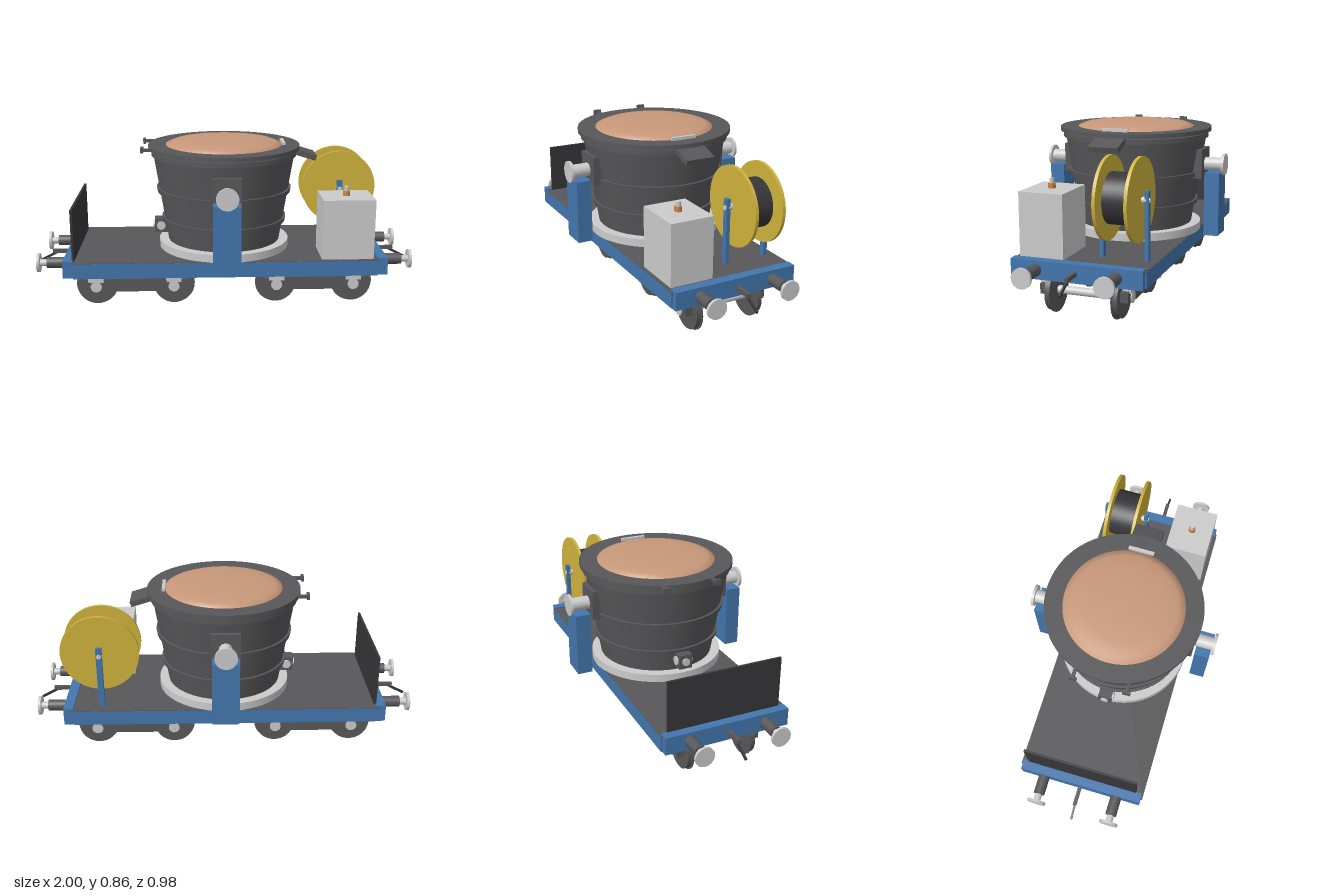
import * as THREE from 'three';

const mat = (color) => new THREE.MeshStandardMaterial({ color, side: THREE.DoubleSide });
const grey = mat(0xcccccc), dark = mat(0x58585a), black = mat(0x37373a), blue = mat(0x4376ae);
const yellow = mat(0xd0b33c), copper = mat(0xc8987a), orange = mat(0xd0853c);

function add(parent, name, geometry, material, x = 0, y = 0, z = 0) {
  const mesh = new THREE.Mesh(geometry, material);
  mesh.name = name;
  mesh.position.set(x, y, z);
  parent.add(mesh);
  return mesh;
}

// Box given by its extents on each axis
function box(parent, name, material, [x0, x1], [y0, y1], [z0, z1]) {
  return add(parent, name, new THREE.BoxGeometry(x1 - x0, y1 - y0, z1 - z0), material,
    (x0 + x1) / 2, (y0 + y1) / 2, (z0 + z1) / 2);
}

// Cylinder centred on a point, along the named axis
function rod(parent, name, material, axis, r, length, x, y, z, sides = 32) {
  const g = new THREE.CylinderGeometry(r, r, length, sides);
  if (axis === 'x') g.rotateZ(Math.PI / 2);
  if (axis === 'z') g.rotateX(Math.PI / 2);
  return add(parent, name, g, material, x, y, z);
}

// Lathe with each profile segment kept crisp
function turned(parent, name, material, points) {
  for (let i = 0; i < points.length - 1; i++) {
    const pair = [points[i], points[i + 1]].map(([r, y]) => new THREE.Vector2(r, y));
    add(parent, name, new THREE.LatheGeometry(pair, 64), material);
  }
}

function group(parent, name) {
  const g = new THREE.Group();
  g.name = name;
  parent.add(g);
  return g;
}

function buildChassis(root) {
  const g = group(root, 'chassis');
  box(g, 'deck', dark, [-0.8, 0.8], [0.265, 0.281], [-0.332, 0.332]);
  box(g, 'centreSill', blue, [-0.78, 0.78], [0.195, 0.265], [-0.033, 0.033]);
  for (const s of [-1, 1]) {
    box(g, 'sideSill', blue, [-0.8, 0.8], [0.203, 0.278], s > 0 ? [0.312, 0.333] : [-0.333, -0.312]);
    box(g, 'sillFlange', blue, [-0.78, 0.78], [0.195, 0.21], s > 0 ? [0.295, 0.322] : [-0.322, -0.295]);
    box(g, 'endBeam', blue, s > 0 ? [0.78, 0.83] : [-0.83, -0.78], [0.2, 0.29], [-0.325, 0.325]);
    // Buffers
    for (const z of [-0.198, 0.198]) {
      rod(g, 'bufferSleeve', dark, 'x', 0.029, 0.1, s * 0.877, 0.245, z);
      rod(g, 'bufferStem', grey, 'x', 0.018, 0.06, s * 0.945, 0.245, z);
      rod(g, 'bufferHead', grey, 'x', 0.049, 0.014, s * 0.97, 0.245, z);
    }
    // Draw hook
    box(g, 'drawbar', dark, s > 0 ? [0.82, 0.93] : [-0.93, -0.82], [0.235, 0.255], [-0.009, 0.009]);
    const link = box(g, 'hook', black, [-0.052, 0.052], [-0.006, 0.006], [-0.005, 0.005]);
    link.position.set(s * 0.952, 0.216, 0);
    link.rotation.z = -s * 0.48;
  }
  box(g, 'rearShield', black, [-0.785, -0.773], [0.275, 0.55], [-0.295, 0.295]);
}

function buildBogie(root, cx) {
  const g = group(root, 'bogie');
  g.position.x = cx;
  box(g, 'bolster', dark, [-0.05, 0.05], [0.135, 0.2], [-0.19, 0.19]);
  rod(g, 'pivot', dark, 'y', 0.05, 0.07, 0, 0.225, 0);
  for (const x of [-0.203, 0.203]) {
    rod(g, 'axle', grey, 'z', 0.02, 0.44, x, 0.11, 0);
    for (const s of [-1, 1]) {
      rod(g, 'wheelTread', dark, 'z', 0.101, 0.028, x, 0.11, s * 0.168, 48);
      rod(g, 'wheelFlange', dark, 'z', 0.109, 0.006, x, 0.11, s * 0.156, 48);
      box(g, 'axleBox', grey, [x - 0.04, x + 0.04], [0.14, 0.165], [s * 0.207 - 0.021, s * 0.207 + 0.021]);
      rod(g, 'axleCap', grey, 'z', 0.029, 0.008, x, 0.115, s * 0.223);
    }
  }
  for (const s of [-1, 1]) {
    // Side frame, deeper at the middle than at the ends
    const shape = new THREE.Shape([
      [-0.265, 0.15], [-0.265, 0.1], [-0.17, 0.088], [0.17, 0.088], [0.265, 0.1], [0.265, 0.15],
      [0.15, 0.157], [-0.15, 0.157]].map(([x, y]) => new THREE.Vector2(x, y)));
    add(g, 'sideFrame', new THREE.ExtrudeGeometry(shape, { depth: 0.038, bevelEnabled: false }),
      dark, 0, 0, s * 0.203 - 0.019);
    for (const x of [-0.055, 0.055]) rod(g, 'spring', grey, 'y', 0.016, 0.12, x, 0.205, s * 0.2, 20);
  }
}

function buildLadle(root) {
  const g = group(root, 'ladle');
  turned(g, 'baseRing', grey, [[0, 0.28], [0.347, 0.28], [0.347, 0.322], [0.29, 0.322]]);
  turned(g, 'vessel', dark, [[0, 0.3], [0.295, 0.3], [0.374, 0.79], [0.3, 0.8]]);
  turned(g, 'topBand', dark, [[0.36, 0.778], [0.384, 0.778], [0.384, 0.802], [0.31, 0.802]]);
  for (const [y, r] of [[0.582, 0.354], [0.423, 0.328]])
    turned(g, 'hoop', dark, [[r - 0.02, y], [r, y], [r + 0.004, y + 0.024], [r - 0.02, y + 0.024]]);
  turned(g, 'lidFlange', dark, [[0.3, 0.809], [0.399, 0.809], [0.399, 0.831], [0.3, 0.831]]);
  const dome = [[0.311, 0.8], [0.309, 0.83], [0.27, 0.845], [0.2, 0.854], [0.1, 0.858], [0.0, 0.859]];
  add(g, 'lidDome', new THREE.LatheGeometry(dome.map(([r, y]) => new THREE.Vector2(r, y)), 64), copper);
  box(g, 'lidHandle', grey, [0.303, 0.32], [0.83, 0.846], [-0.067, 0.067]);
  // Pouring spout
  const spout = box(g, 'spout', dark, [-0.06, 0.06], [-0.014, 0.014], [-0.077, 0.077]);
  spout.position.set(0.425, 0.78, 0);
  spout.rotation.z = -0.3;
  // Lid clamps
  for (const z of [-0.135, 0.135]) {
    box(g, 'clampArm', dark, [-0.43, -0.36], [0.815, 0.831], [z - 0.008, z + 0.008]);
    box(g, 'clampHead', dark, [-0.432, -0.418], [0.81, 0.838], [z - 0.02, z + 0.02]);
  }
  // Drain gate
  box(g, 'drainGate', dark, [-0.372, -0.3], [0.355, 0.43], [-0.035, 0.035]);
  rod(g, 'drainPin', grey, 'z', 0.023, 0.085, -0.338, 0.393, 0);
  rod(g, 'drainNozzle', grey, 'x', 0.02, 0.02, -0.37, 0.393, 0);
  // Trunnions and the posts below them
  for (const s of [-1, 1]) {
    box(g, 'trunnionPlate', dark, [-0.075, 0.075], [0.575, 0.725], [s * 0.358 - 0.025, s * 0.358 + 0.025]);
    rod(g, 'trunnion', grey, 'z', 0.034, 0.11, 0, 0.645, s * 0.43);
    rod(g, 'trunnionCap', grey, 'z', 0.056, 0.014, 0, 0.645, s * 0.483);
    box(g, 'trunnionPost', blue, [-0.068, 0.068], [0.277, 0.605], [s * 0.434 - 0.039, s * 0.434 + 0.039]);
  }
}

function buildReel(root) {
  const g = group(root, 'hoseReel');
  const x = 0.635, y = 0.568, z = -0.169;
  rod(g, 'drum', black, 'z', 0.123, 0.14, x, y, z, 48);
  rod(g, 'reelAxle', grey, 'z', 0.012, 0.25, x, y, z);
  for (const s of [-1, 1]) {
    rod(g, 'reelDisc', yellow, 'z', 0.2, 0.016, x, y, z + s * 0.075, 64);
    rod(g, 'reelHub', grey, 'z', 0.016, 0.022, x, y, z + s * 0.098);
    const pz = z + s * 0.111;
    box(g, 'reelPost', blue, [x - 0.015, x + 0.015], [0.28, 0.612], [pz - 0.01, pz + 0.01]);
  }
}

function buildCabinet(root) {
  const g = group(root, 'cabinet');
  box(g, 'cabinetBody', grey, [0.492, 0.758], [0.281, 0.592], [0.09, 0.313]);
  rod(g, 'valveBase', orange, 'y', 0.018, 0.025, 0.625, 0.604, 0.203);
  rod(g, 'valveStem', grey, 'y', 0.012, 0.025, 0.625, 0.628, 0.203);
}

export function createModel() {
  const root = new THREE.Group();
  root.name = 'ladleWagon';
  buildChassis(root);
  for (const x of [-0.473, 0.473]) buildBogie(root, x);
  buildLadle(root);
  buildReel(root);
  buildCabinet(root);
  return root;
}
